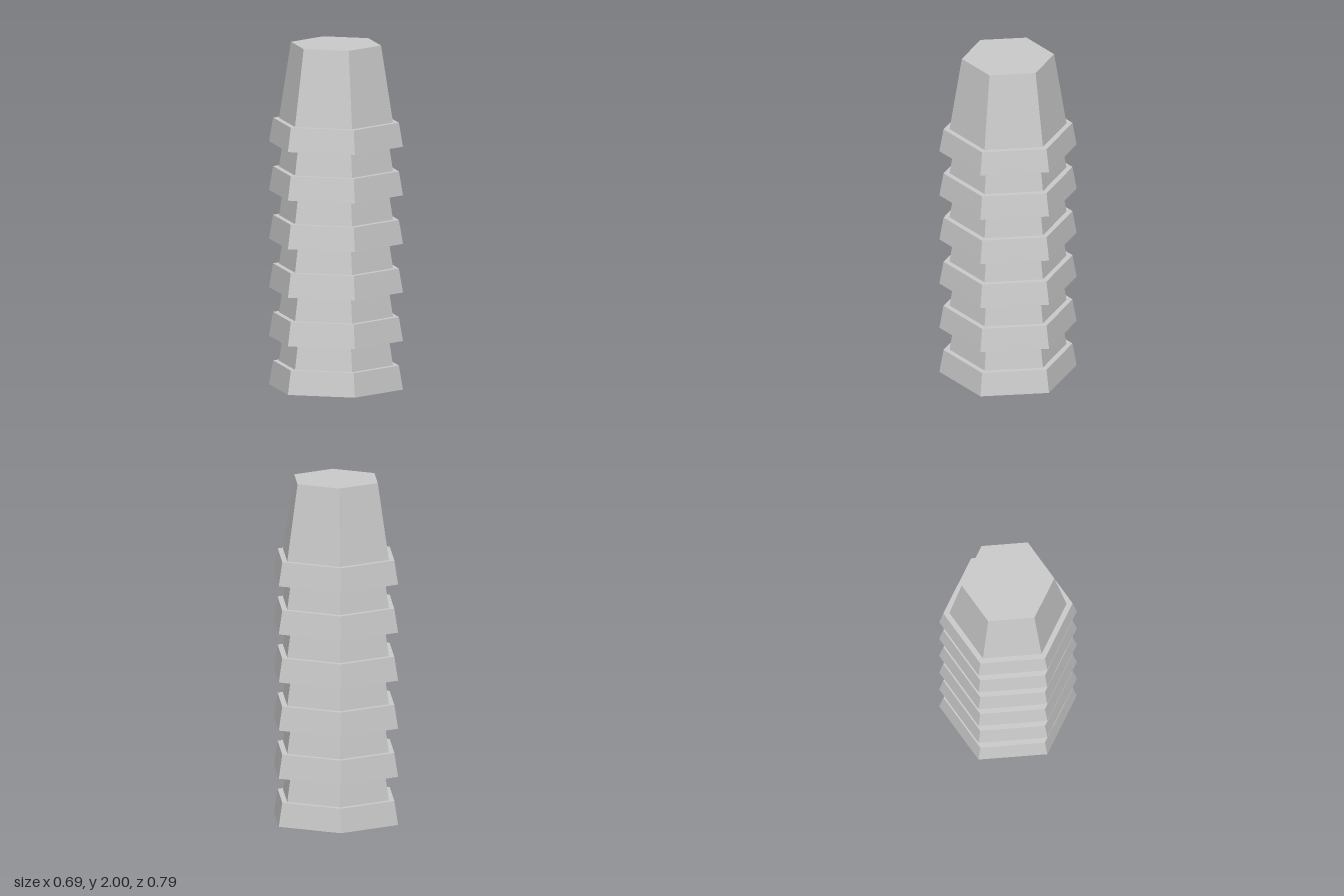
import * as THREE from 'three';

const CUPS = 6;
const HEIGHT = 0.585; // one cup
const STEP = (2 - HEIGHT) / (CUPS - 1); // rise between nested cups

export function createModel() {
  const group = new THREE.Group();
  group.name = 'cupStack';
  const material = new THREE.MeshStandardMaterial({ color: 0xcccccc, flatShading: true });

  // Half section of a hollow upside-down cup: cavity, rim band, tapered body, closed top
  const profile = [
    [0, 0.54], [0.23, 0.54], [0.315, 0],
    [0.397, 0], [0.373, 0.139], [0.338, 0.139],
    [0.267, HEIGHT], [0, HEIGHT],
  ].map(([r, y]) => new THREE.Vector2(r, y));

  // Six sides, with corners on the z axis
  const cupGeometry = new THREE.LatheGeometry(profile, 6);

  // Identical cups nested over one another
  for (let i = 0; i < CUPS; i++) {
    const cup = new THREE.Mesh(cupGeometry, material);
    cup.name = `cup${i + 1}`;
    cup.position.y = i * STEP;
    group.add(cup);
  }
  return group;
}
